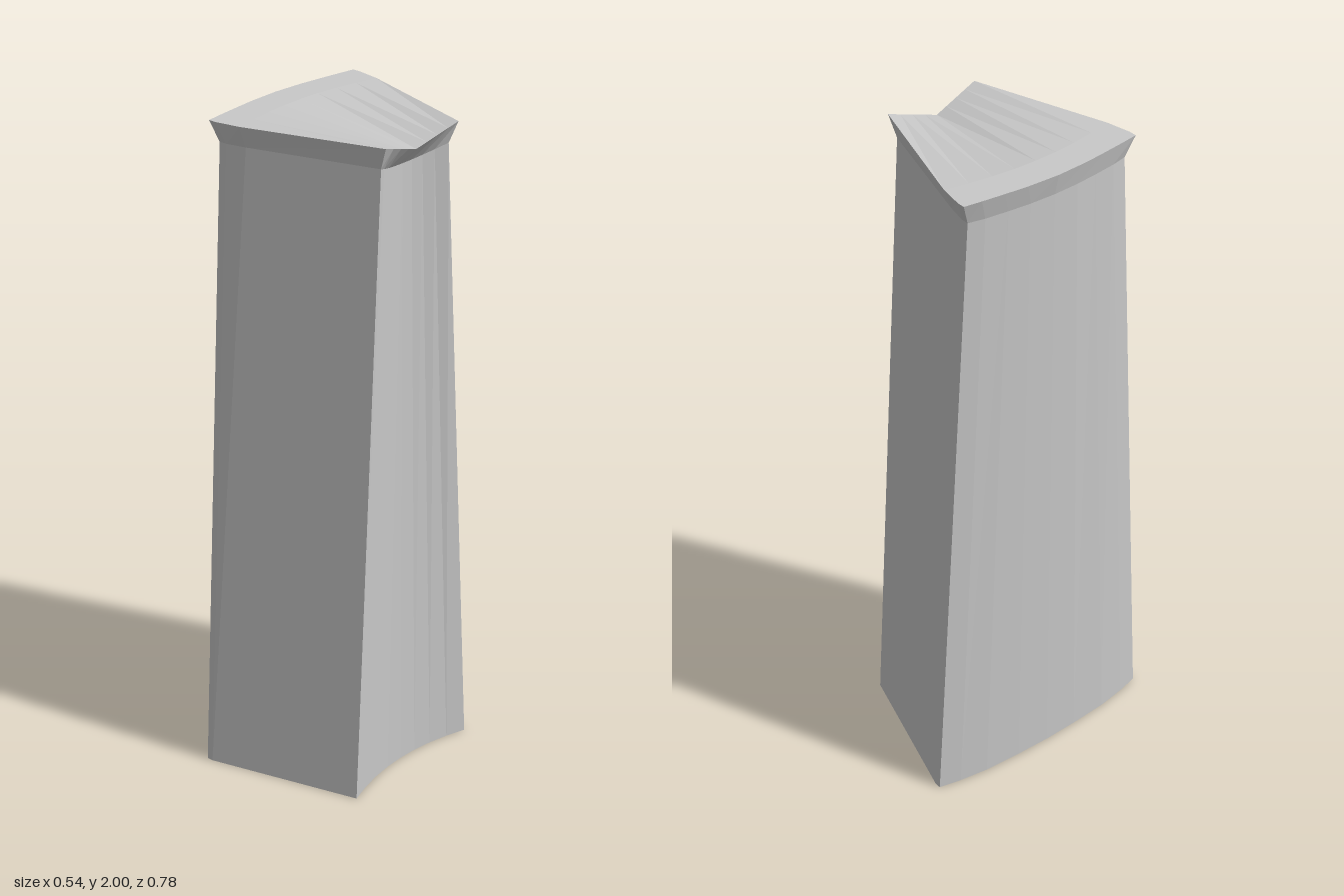
import * as THREE from 'three';

const stone = new THREE.MeshStandardMaterial({ color: 0xc8c8c8, flatShading: true });
stone.name = 'stone';

// Triangle soup from quads/triangles given counter-clockwise from outside
function faceMesh(name, faces) {
  const pos = [];
  for (const f of faces) {
    for (let i = 1; i < f.length - 1; i++) pos.push(...f[0], ...f[i], ...f[i + 1]);
  }
  const g = new THREE.BufferGeometry();
  g.setAttribute('position', new THREE.Float32BufferAttribute(pos, 3));
  g.computeVertexNormals();
  const mesh = new THREE.Mesh(g, stone);
  mesh.name = name;
  return mesh;
}

const flip = ([x, y, z]) => [x, y, -z];
const at = (y, pts) => pts.map(([x, z]) => [x, y, z]);

// Half outline runs from the back centre round the +z side to the hollow centre
const STEPS = 4;
function hollow([x, y, z], depth, drop, bowed) {
  const pts = [];
  for (let i = STEPS - 1; i >= 0; i--) {
    const t = i / STEPS;
    const k = bowed ? 1 - t * t : 1 - t;
    pts.push([x - depth * k, y - drop * k, z * t]);
  }
  return pts;
}
function halfSection(y, outline, depth, drop, bowed) {
  const pts = at(y, outline);
  return pts.concat(hollow(pts[pts.length - 1], depth, drop, bowed));
}
const fullLoop = (half) => half.concat(half.slice(1, -1).reverse().map(flip));
// Half list (centre to +z) mirrored into one running from -z to +z
const fullRow = (half) => half.slice(1).reverse().map(flip).concat(half);

function loft(lower, upper) {
  return lower.map((p, i) => {
    const j = (i + 1) % lower.length;
    return [p, lower[j], upper[j], upper[i]];
  });
}
function strip(a, b) {
  return a.slice(0, -1).map((p, i) => [p, a[i + 1], b[i + 1], b[i]]);
}

export function createModel() {
  const group = new THREE.Group();
  group.name = 'wedgePillar';

  const foot = halfSection(0, [
    [-0.26, 0], [-0.257, 0.11], [-0.25, 0.23], [-0.236, 0.32], [-0.22, 0.388],
    [-0.2, 0.388], [-0.13, 0.367], [0.26, 0.25],
  ], 0.045, 0, true);
  const neck = halfSection(1.935, [
    [-0.255, 0], [-0.252, 0.08], [-0.245, 0.15], [-0.236, 0.22], [-0.225, 0.27],
    [-0.2, 0.27], [-0.14, 0.256], [0.245, 0.14],
  ], 0.045, 0.032, true);
  const rim = halfSection(2, [
    [-0.27, 0], [-0.265, 0.1], [-0.257, 0.17], [-0.248, 0.24], [-0.24, 0.294],
    [-0.215, 0.294], [-0.14, 0.28], [0.27, 0.15],
  ], 0.022, 0.045, false);

  // Tapering shaft and flared lip
  const base = fullLoop(foot), collar = fullLoop(neck), edge = fullLoop(rim);
  group.add(faceMesh('shaft', loft(base, collar)));
  group.add(faceMesh('flaredLip', loft(collar, edge)));

  // Underside
  const flat = base.map(([x, , z]) => new THREE.Vector2(x, -z));
  const tris = THREE.ShapeUtils.triangulateShape(flat, []);
  group.add(faceMesh('underside', tris.map(([a, b, c]) => [base[a], base[c], base[b]])));

  // Top: level band along the back, then a valley sinking towards the hollow side
  const inner = at(2, [[-0.175, 0], [-0.173, 0.07], [-0.166, 0.14], [-0.155, 0.21], [-0.14, 0.28]]);
  const innerRow = fullRow(inner);
  const mouthRow = fullRow(rim.slice(7).reverse());
  group.add(faceMesh('topBand', [
    ...strip(fullRow(rim.slice(0, 5)), innerRow),
    [rim[4], rim[5], rim[6]],
    [flip(rim[6]), flip(rim[5]), flip(rim[4])],
  ]));
  group.add(faceMesh('topValley', strip(innerRow, mouthRow)));

  return group;
}
